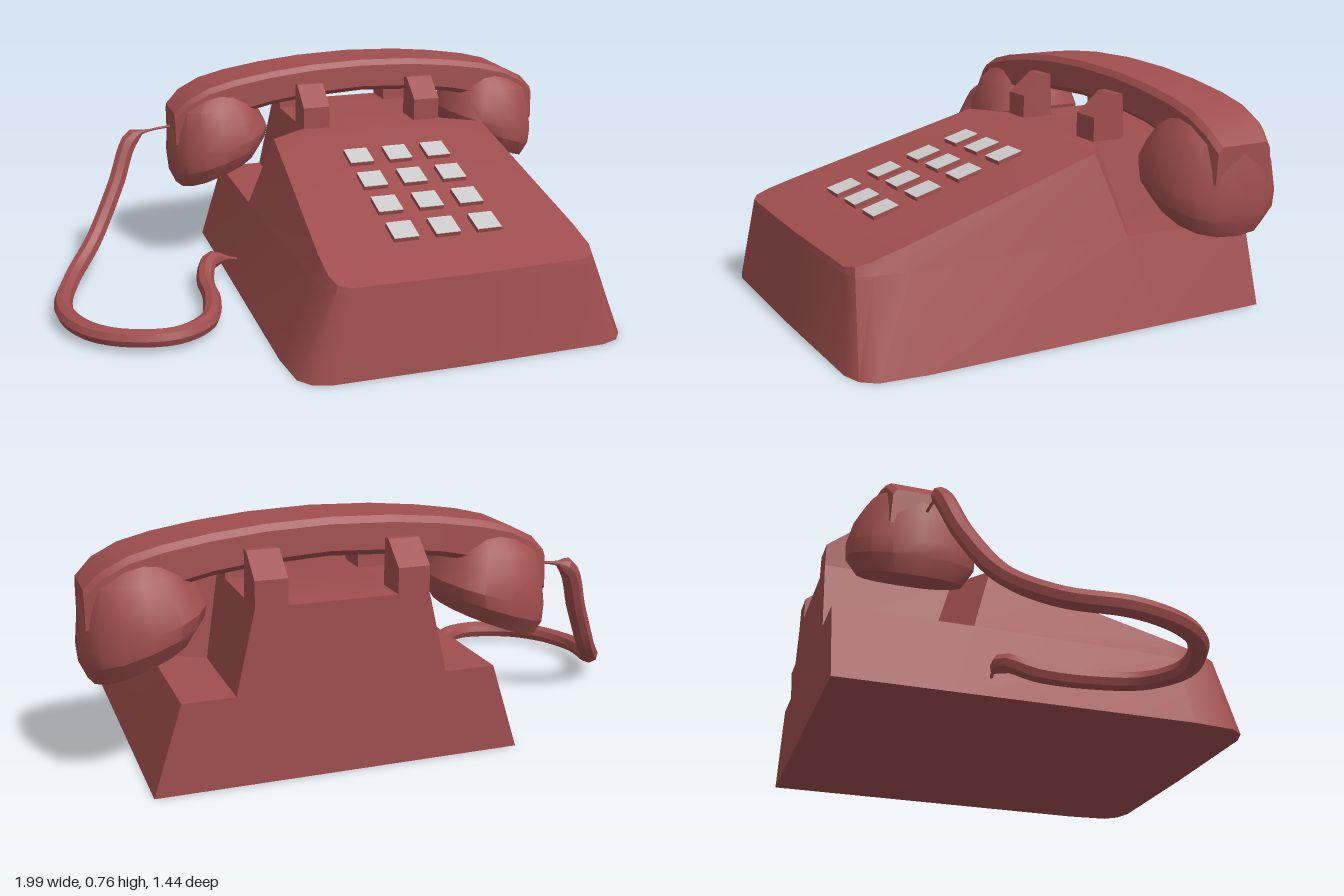
import * as THREE from 'three';
import { toCreasedNormals } from 'three/addons/utils/BufferGeometryUtils.js';

const red = new THREE.MeshStandardMaterial({ color: 0xa04e4e });
const grey = new THREE.MeshStandardMaterial({ color: 0xcccccc });
const CX = 0.24; // centre line of the phone
const HZ = -0.49; // depth of the handset

function mesh(name, geometry, material = red) {
  const m = new THREE.Mesh(geometry, material);
  m.name = name;
  return m;
}

// Closed solid through rings of [x, y, z]; ends are fanned from a centre point
function loft(rings, crease = 0.6, endCentre = null) {
  const n = rings[0].length;
  const mean = (r) => [0, 1, 2].map((k) => r.reduce((s, p) => s + p[k], 0) / n);
  const first = mean(rings[0]);
  const last = endCentre || mean(rings[rings.length - 1]);
  const tris = [];
  for (let j = 0; j < n; j++) {
    const k = (j + 1) % n;
    tris.push([first, rings[0][k], rings[0][j]]);
    for (let i = 0; i + 1 < rings.length; i++) {
      const a = rings[i], b = rings[i + 1];
      tris.push([a[j], a[k], b[k]], [a[j], b[k], b[j]]);
    }
    const end = rings[rings.length - 1];
    tris.push([last, end[j], end[k]]);
  }
  // Turn the faces outward if the enclosed volume is negative
  const v = (p) => new THREE.Vector3(...p).sub(new THREE.Vector3(...first));
  const volume = tris.reduce((s, t) => s + v(t[0]).dot(v(t[1]).cross(v(t[2]))), 0);
  if (volume < 0) tris.forEach((t) => t.reverse());
  const g = new THREE.BufferGeometry();
  g.setAttribute('position', new THREE.Float32BufferAttribute(tris.flat(2), 3));
  g.computeVertexNormals();
  return toCreasedNormals(g, crease);
}

const panelY = (z) => (z > -0.17 ? 0.54 - ((z + 0.17) / 0.85) * 0.24 : 0.54);

function createBody() {
  const body = new THREE.Group();
  body.name = 'body';
  const SHELF = 0.28;
  // Half outlines [x, z] at the floor and at the top edge, front centre to shoulder
  const floor = [[0, 0.72], [0.47, 0.715], [0.53, 0.695], [0.565, 0.65], [0.58, 0.5], [0.58, -0.33]];
  const top = [[0, 0.685], [0.4, 0.68], [0.435, 0.66], [0.45, 0.61], [0.45, 0.5], [0.41, -0.17]];
  const topPts = top.map(([x, z]) => [x, panelY(z), z]);
  const floorPts = floor.map(([x, z]) => [x, 0, z]);
  const midPts = floorPts.map((p, i) => {
    const q = topPts[i], t = SHELF / q[1];
    return [p[0] + (q[0] - p[0]) * t, SHELF, p[2] + (q[2] - p[2]) * t];
  });
  const mirror = (half) => [...half, ...half.slice(1).reverse().map(([x, y, z]) => [-x, y, z])];

  // Lower base, whose rear top forms the side shelves
  body.add(mesh('lowerBase', loft([
    mirror([...floorPts, [0.58, 0, -0.72]]),
    mirror([...midPts, [midPts[5][0], SHELF, -0.72]]),
  ])));
  // Sloping key panel with the narrow tower behind it
  body.add(mesh('upperShell', loft([
    mirror([...midPts, [0.33, SHELF, -0.35], [0.33, SHELF, -0.72]]),
    mirror([...topPts, [0.27, 0.54, -0.27], [0.27, 0.54, -0.72]]),
  ], 0.6, [0, 0.54, -0.17])));
  body.position.x = CX;
  return body;
}

function createCradle() {
  const cradle = new THREE.Group();
  cradle.name = 'cradle';
  const profile = [[0.26, 0.5], [0.26, 0.62], [0.345, 0.69], [0.37, 0.69], [0.38, 0.5]];
  for (const back of [false, true]) {
    const pts = profile.map(([a, y]) => new THREE.Vector2(back ? -2 * HZ - a : a, y));
    const g = new THREE.ExtrudeGeometry(new THREE.Shape(pts), { depth: 0.1, bevelEnabled: false });
    g.translate(0, 0, -0.05).rotateY(Math.PI / 2);
    for (const s of [-1, 1]) {
      const prong = mesh(back ? 'backProng' : 'frontProng', g);
      prong.position.x = CX + s * 0.22;
      cradle.add(prong);
    }
  }
  return cradle;
}

function createKeypad() {
  const keypad = new THREE.Group();
  keypad.name = 'keypad';
  for (let row = 0; row < 4; row++) {
    for (let col = -1; col <= 1; col++) {
      const z = 0.003 + row * 0.147;
      const key = new THREE.Group();
      key.name = 'key';
      key.add(mesh('keySides', new THREE.BoxGeometry(0.086, 0.04, 0.09)));
      const cap = mesh('keyCap', new THREE.BoxGeometry(0.086, 0.002, 0.09), grey);
      cap.position.y = 0.021;
      key.add(cap);
      key.position.set(CX + col * 0.146, panelY(z) - 0.006, z);
      key.rotation.x = Math.atan(0.24 / 0.85);
      keypad.add(key);
    }
  }
  return keypad;
}

function createHandset() {
  const handset = new THREE.Group();
  handset.name = 'handset';
  // Arched grip: [offset from centre, top, bottom, half depth]
  const half = [[0, 0.76, 0.64, 0.112], [0.2, 0.753, 0.63, 0.112], [0.36, 0.737, 0.61, 0.112],
    [0.5, 0.715, 0.58, 0.113], [0.6, 0.69, 0.54, 0.114], [0.68, 0.65, 0.5, 0.112], [0.73, 0.6, 0.46, 0.1]];
  const stations = [...half.slice(1).reverse().map(([u, ...r]) => [-u, ...r]), ...half];
  handset.add(mesh('grip', loft(stations.map(([u, t, b, d]) => [
    [d - 0.015, t], [d, t - 0.02], [d + 0.005, b + 0.02], [d - 0.02, b],
    [0.02 - d, b], [-d - 0.005, b + 0.02], [-d, t - 0.02], [0.015 - d, t],
  ].map(([z, y]) => [u, y, z])), 0.5)));

  // Cups: outer point, inner point and half depth of each ring
  const rings = [[0.72, 0.31, 0.41, 0.43, 0.17], [0.745, 0.365, 0.375, 0.49, 0.207],
    [0.75, 0.42, 0.365, 0.53, 0.21], [0.74, 0.52, 0.39, 0.58, 0.19],
    [0.725, 0.6, 0.42, 0.63, 0.155], [0.66, 0.66, 0.46, 0.67, 0.11]];
  const SIDES = 16;
  for (const s of [-1, 1]) {
    const loops = rings.map(([ox, oy, ix, iy, d]) => Array.from({ length: SIDES }, (_, i) => {
      const a = (i / SIDES) * Math.PI * 2;
      const c = Math.sign(Math.cos(a)) * Math.abs(Math.cos(a)) ** 0.85;
      const t = (1 + c) / 2;
      return [s * (ix + (ox - ix) * t), iy + (oy - iy) * t, d * Math.sign(Math.sin(a)) * Math.abs(Math.sin(a)) ** 0.85];
    }));
    handset.add(mesh(s < 0 ? 'mouthCup' : 'earCup', loft(loops, 0.5)));
  }
  handset.position.set(CX, 0, HZ);
  return handset;
}

// Looping cord, thinned to a wire at both ends
function createCord() {
  const path = new THREE.CatmullRomCurve3([
    [-0.48, 0.535, -0.48], [-0.56, 0.527, -0.48], [-0.64, 0.505, -0.475], [-0.72, 0.34, -0.42],
    [-0.82, 0.17, -0.33], [-0.92, 0.075, -0.2], [-0.97, 0.05, 0], [-0.92, 0.045, 0.17],
    [-0.82, 0.045, 0.27], [-0.64, 0.045, 0.315], [-0.52, 0.045, 0.24], [-0.465, 0.045, 0.06],
    [-0.455, 0.05, -0.1], [-0.42, 0.085, -0.19], [-0.37, 0.085, -0.21], [-0.28, 0.07, -0.2],
  ].map((p) => new THREE.Vector3(...p)));
  const N = 72, SIDES = 8, R = 0.032;
  const g = new THREE.TubeGeometry(path, N, R, SIDES);
  const pos = g.attributes.position;
  const length = path.getLength();
  const p = new THREE.Vector3();
  for (let i = 0; i <= N; i++) {
    const c = path.getPointAt(i / N);
    const fromStart = (i / N) * length, fromEnd = length - fromStart;
    const k = Math.min(THREE.MathUtils.clamp((fromStart - 0.11) / 0.05, 0.15, 1),
      THREE.MathUtils.clamp((fromEnd - 0.05) / 0.07, 0.15, 1));
    for (let j = 0; j <= SIDES; j++) {
      const n = i * (SIDES + 1) + j;
      p.fromBufferAttribute(pos, n).sub(c).multiplyScalar(k).add(c);
      pos.setXYZ(n, p.x, p.y, p.z);
    }
  }
  g.computeVertexNormals();
  return mesh('cord', toCreasedNormals(g, 0.6));
}

export function createModel() {
  const phone = new THREE.Group();
  phone.name = 'telephone';
  phone.add(createBody(), createCradle(), createKeypad(), createHandset(), createCord());
  return phone;
}
